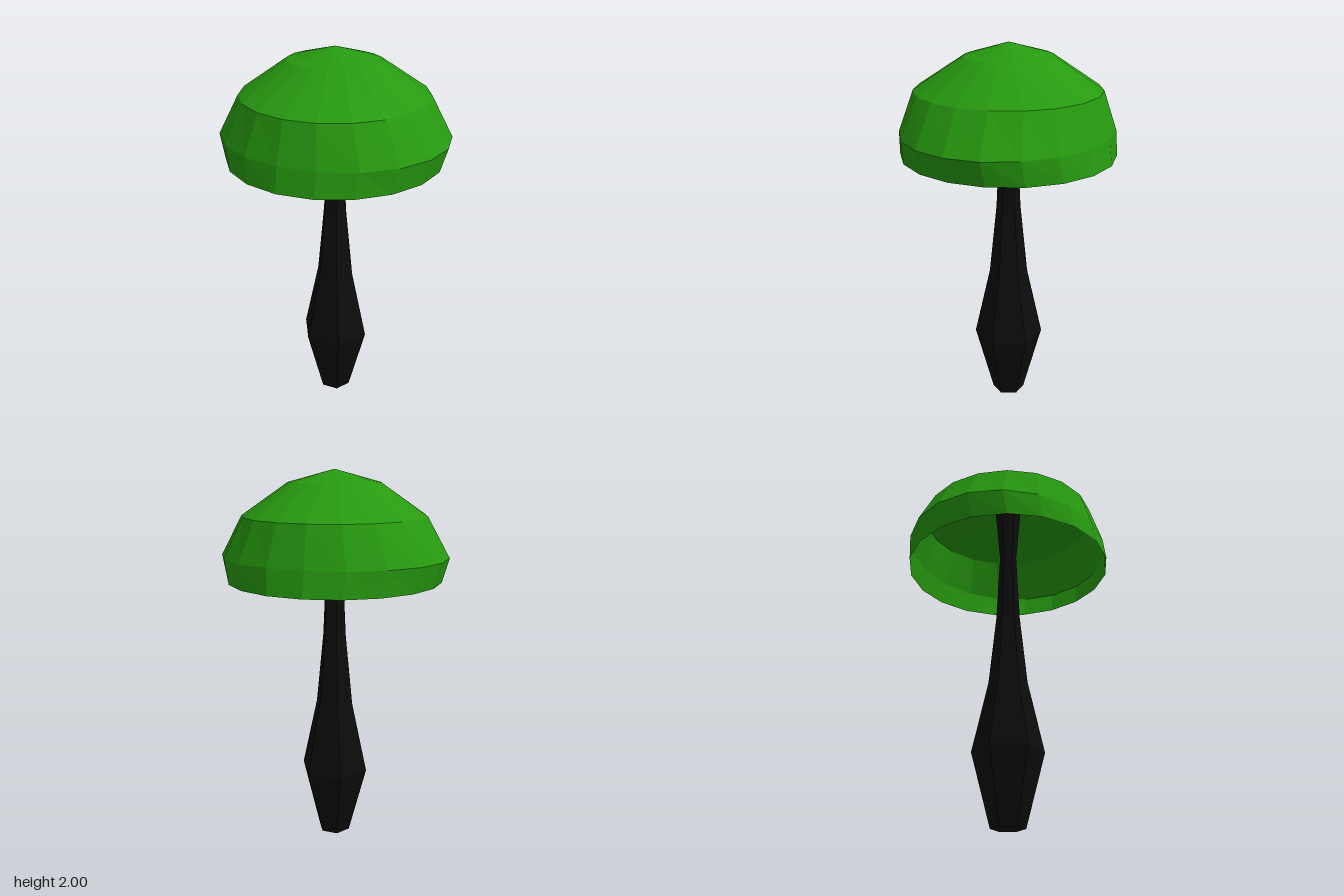
import * as THREE from 'three';

// Faceted lathe from rows of [radius, height, depth factor], listed bottom to top
function facetedLathe(name, rows, sides, color, side) {
  const points = rows.map(([r, y]) => new THREE.Vector2(r, y));
  const geometry = new THREE.LatheGeometry(points, sides, Math.PI / 2);
  const pos = geometry.attributes.position;
  for (let i = 0; i < pos.count; i++) {
    // squash single rings front to back
    pos.setZ(i, pos.getZ(i) * (rows[i % rows.length][2] ?? 1));
  }
  const material = new THREE.MeshStandardMaterial({ color, flatShading: true, side });
  const mesh = new THREE.Mesh(geometry, material);
  mesh.name = name;
  return mesh;
}

export function createModel() {
  const model = new THREE.Group();
  model.name = 'mushroom';

  // Hollow cap, open underneath
  const cap = facetedLathe('cap', [
    [0.557, 1.44],
    [0.594, 1.567, 0.905],
    [0.477, 1.77],
    [0.24, 1.935, 0.92],
    [0, 2],
  ], 19, 0x279a10, THREE.DoubleSide);

  // Six-sided stem: swollen below, narrow neck, flared top inside the cap
  const stem = facetedLathe('stem', [
    [0, 0],
    [0.088, 0],
    [0.187, 0.38],
    [0.103, 0.76],
    [0.064, 1.14],
    [0.046, 1.52],
    [0.078, 1.9],
    [0, 1.9],
  ], 6, 0x0c0c0c, THREE.FrontSide);

  model.add(cap, stem);
  model.position.x = -0.004;
  return model;
}
